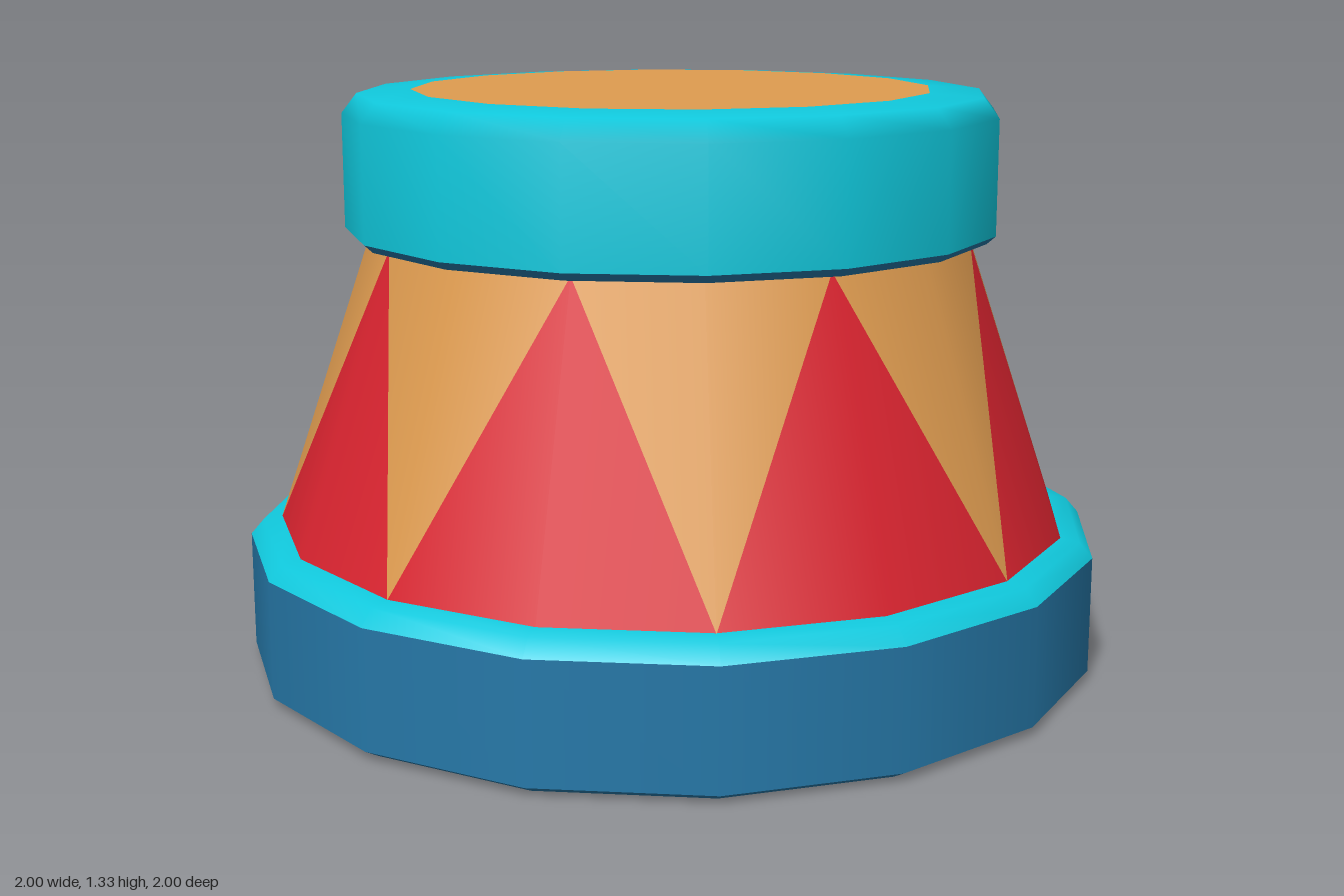
import * as THREE from 'three';

const SIDES = 16;
const mat = (name, color) => {
  const m = new THREE.MeshStandardMaterial({ color });
  m.name = name;
  return m;
};

export function createModel() {
  const group = new THREE.Group();
  const cyan = mat('cyan', 0x10c8dc);
  const blue = mat('blue', 0x2678a8);
  const red = mat('red', 0xdc2430);
  const tan = mat('tan', 0xdf9c50);

  const add = (name, geometry, material) => {
    const mesh = new THREE.Mesh(geometry, material);
    mesh.name = name;
    group.add(mesh);
  };
  // turned part from a [radius, height] profile, listed from bottom to top
  const turned = (name, profile, material) =>
    add(name, new THREE.LatheGeometry(profile.map(([r, y]) => new THREE.Vector2(r, y)), SIDES), material);

  // base: flat underside, thin chamfer, wall and bevelled top rim
  turned('baseUnderside', [[0, 0], [0.965, 0]], blue);
  turned('baseChamfer', [[0.965, 0], [1, 0.02]], blue);
  turned('baseWall', [[1, 0.02], [1, 0.29]], blue);
  turned('baseRim', [[1, 0.29], [0.97, 0.325], [0.92, 0.333]], cyan);

  // tapered body: every panel is halved by a diagonal, giving the zigzag
  const bottom = { r: 0.927, y: 0.33 };
  const top = { r: 0.7, y: 1.003 };
  const slope = (bottom.r - top.r) / (top.y - bottom.y);
  const zigzag = (pick) => {
    const pos = [], nor = [];
    for (let i = 0; i < SIDES; i++) {
      for (const [step, ring] of pick(i % 2 === 0)) {
        const a = ((i + step) / SIDES) * Math.PI * 2;
        const n = new THREE.Vector3(Math.sin(a), slope, Math.cos(a)).normalize();
        pos.push(Math.sin(a) * ring.r, ring.y, Math.cos(a) * ring.r);
        nor.push(n.x, n.y, n.z);
      }
    }
    const g = new THREE.BufferGeometry();
    g.setAttribute('position', new THREE.Float32BufferAttribute(pos, 3));
    g.setAttribute('normal', new THREE.Float32BufferAttribute(nor, 3));
    return g;
  };
  add('redTriangles', zigzag((even) => [[0, bottom], [1, bottom], [even ? 1 : 0, top]]), red);
  add('tanTriangles', zigzag((even) => [[even ? 0 : 1, bottom], [1, top], [0, top]]), tan);

  // upper band with dark underside and a seat disc
  turned('bandUnderside', [[0.68, 1], [0.737, 1]], blue);
  turned('bandChamfer', [[0.737, 1], [0.757, 1.018]], blue);
  turned('bandWall', [[0.757, 1.018], [0.757, 1.28], [0.722, 1.325], [0.6, 1.333]], cyan);
  turned('seatDisc', [[0.6, 1.333], [0, 1.333]], tan);

  return group;
}
